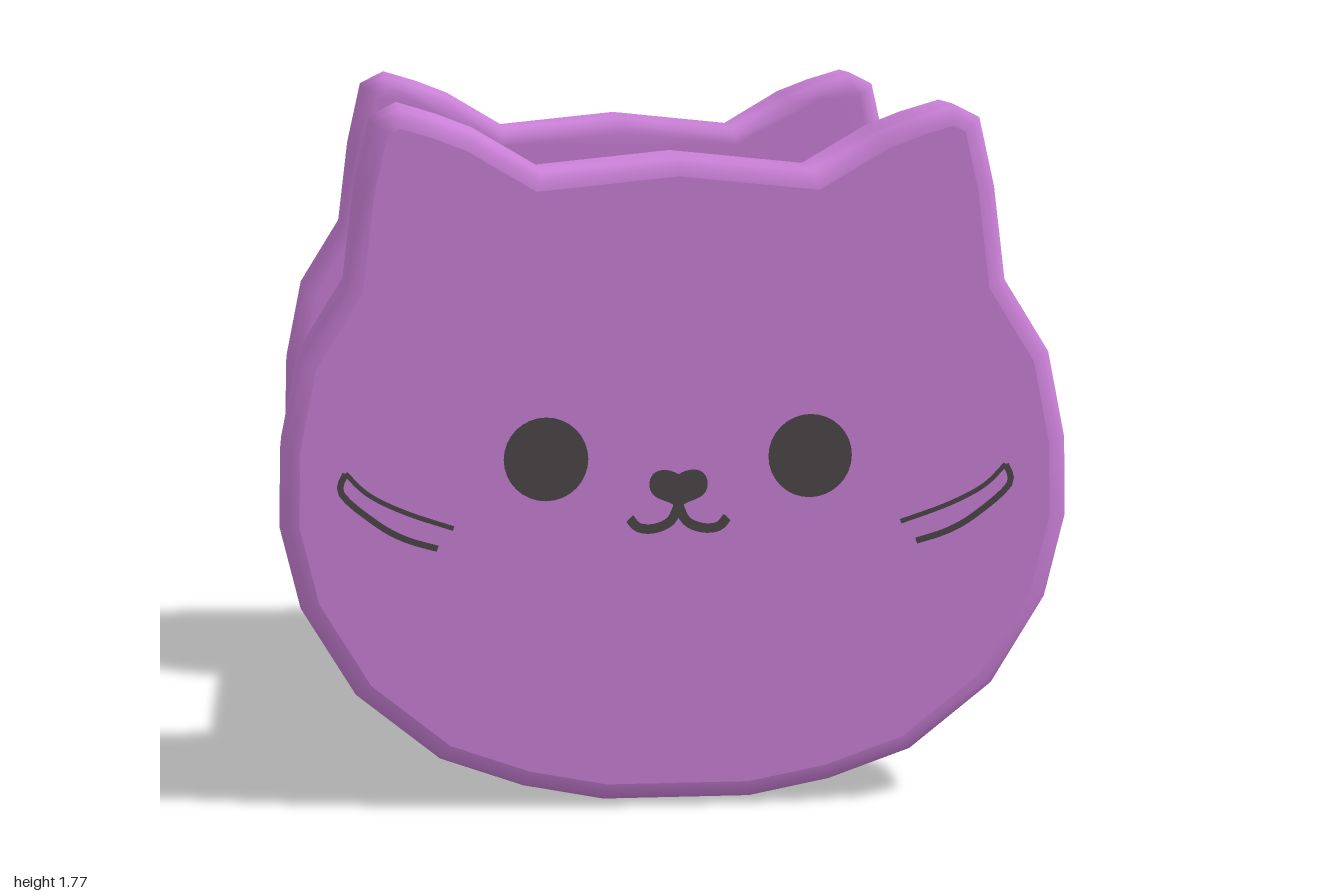
import * as THREE from 'three';
import { mergeVertices, mergeGeometries } from 'three/addons/utils/BufferGeometryUtils.js';

const V2 = (x, y) => new THREE.Vector2(x, y);
const mat = (name, color, side = THREE.FrontSide) => {
  const m = new THREE.MeshStandardMaterial({ color, side });
  m.name = name;
  return m;
};

// Right half of the cat head outline, top centre to bottom
const HALF = [[0.34, 1.61], [0.5, 1.705], [0.59, 1.74], [0.69, 1.77], [0.76, 1.735], [0.8, 1.56],
  [0.83, 1.325], [0.945, 1.14], [0.99, 0.92], [0.995, 0.72], [0.945, 0.51], [0.81, 0.285],
  [0.6, 0.115], [0.39, 0.04], [0.185, 0]];

function headShape() {
  const right = HALF.map(([x, y]) => V2(x, y));
  const left = HALF.map(([x, y]) => V2(-x, y)).reverse();
  return new THREE.Shape([V2(0, 1.645), ...right, ...left]);
}

// Weld a vertex range and give it smooth normals
function smoothRange(geo, start, count) {
  const g = new THREE.BufferGeometry();
  const a = geo.attributes.position.array.slice(start * 3, (start + count) * 3);
  g.setAttribute('position', new THREE.BufferAttribute(a, 3));
  const welded = mergeVertices(g, 1e-4);
  welded.computeVertexNormals();
  return welded.toNonIndexed();
}

// Thick head slab with rounded rim; flat faces keep a crisp edge
function headGeometry(crisp) {
  const geo = new THREE.ExtrudeGeometry(headShape(), {
    depth: 0.185, bevelThickness: 0.05, bevelSize: 0.05, bevelOffset: -0.05, bevelSegments: 3,
  });
  geo.translate(0, 0, -0.0925);
  if (!crisp) return smoothRange(geo, 0, geo.attributes.position.count);
  const [caps, rim] = geo.groups;
  const flat = new THREE.BufferGeometry();
  flat.setAttribute('position', new THREE.BufferAttribute(
    geo.attributes.position.array.slice(caps.start * 3, (caps.start + caps.count) * 3), 3));
  flat.computeVertexNormals();
  return mergeGeometries([flat, smoothRange(geo, rim.start, rim.count)]);
}

// Flat ribbon following a curve in the face plane
function ribbon(points, width) {
  const curve = new THREE.SplineCurve(points.map(([x, y]) => V2(x, y)));
  const a = [], b = [];
  for (let i = 0; i <= 16; i++) {
    const p = curve.getPoint(i / 16), t = curve.getTangent(i / 16);
    const n = V2(-t.y, t.x).multiplyScalar(width / 2);
    a.push(p.clone().add(n));
    b.unshift(p.clone().sub(n));
  }
  return new THREE.ShapeGeometry(new THREE.Shape([...a, ...b]));
}

// Rounded-box cross-section of the ring: radius and axial offset
const pow = (v) => Math.sign(v) * Math.abs(v) ** 0.68;
const section = (t, grow = 0) => [0.605 + (0.135 + grow) * pow(Math.cos(t)), (0.163 + grow) * pow(Math.sin(t))];

// Diagonal stripe wrapped over the ring's outside
function stripeGeometry(angle) {
  const pos = [], idx = [], N = 36;
  for (let i = 0; i <= N; i++) {
    const t = -2.4 + 4.8 * i / N;
    const [r, z] = section(t, 0.004);
    for (const s of [-0.02, 0.02]) {
      const a = angle + 0.15 * t + s;
      pos.push(r * Math.cos(a), r * Math.sin(a), z);
    }
    if (i < N) {
      const k = i * 2;
      idx.push(k, k + 1, k + 2, k + 1, k + 3, k + 2);
    }
  }
  const g = new THREE.BufferGeometry();
  g.setAttribute('position', new THREE.Float32BufferAttribute(pos, 3));
  g.setIndex(idx);
  g.computeVertexNormals();
  return g;
}

export function createModel() {
  const root = new THREE.Group();
  root.name = 'catSpool';
  const purple = mat('purple', 0xca80d7);
  const brown = mat('brown', 0xa07747);
  const dark = mat('charcoal', 0x4c474a, THREE.DoubleSide);
  const stripeMat = mat('stripePurple', 0x7f5c86, THREE.DoubleSide);
  const add = (parent, name, geo, material, x = 0, y = 0, z = 0) => {
    const m = new THREE.Mesh(geo, material);
    m.name = name;
    m.position.set(x, y, z);
    parent.add(m);
    return m;
  };

  // Two cat head ends joined by a round post
  const front = add(root, 'frontHead', headGeometry(true), purple, 0, 0.01, 0.842);
  front.scale.set(0.995, 0.99, 1);
  add(root, 'backHead', headGeometry(false), purple, 0, 0, -0.845);
  add(root, 'post', new THREE.CylinderGeometry(0.495, 0.495, 1.42, 20).rotateX(Math.PI / 2), brown, 0, 0.783, 0);

  // Striped ring around the post
  const ring = new THREE.Group();
  ring.name = 'ring';
  ring.position.set(0, 0.765, -0.518);
  root.add(ring);
  const profile = [];
  for (let i = 0; i <= 36; i++) profile.push(V2(...section(-Math.PI + i * Math.PI / 18)));
  add(ring, 'ringBody', new THREE.LatheGeometry(profile, 48).rotateX(Math.PI / 2), purple);
  for (let i = 0; i < 12; i++) add(ring, 'ringStripe', stripeGeometry(-0.155 + i * Math.PI / 6), stripeMat);

  // Painted face
  const face = new THREE.Group();
  face.name = 'face';
  face.position.z = 0.988;
  root.add(face);
  for (const s of [-1, 1]) {
    const line = (name, pts, w) => add(face, name, ribbon(pts.map(([x, y]) => [x * s, y]), w), dark);
    add(face, 'eye', new THREE.CircleGeometry(0.105, 32), dark, 0.33 * s, 0.89);
    line('mouth', [[0, 0.77], [0.02, 0.73], [0.06, 0.712], [0.1, 0.715], [0.122, 0.738]], 0.024);
    line('upperWhisker', [[0.825, 0.862], [0.77, 0.808], [0.68, 0.762], [0.56, 0.72]], 0.012);
    line('lowerWhisker', [[0.825, 0.862], [0.835, 0.81], [0.75, 0.735], [0.68, 0.695], [0.6, 0.67]], 0.016);
  }
  const nose = new THREE.Shape();
  nose.moveTo(0, 0.848);
  nose.bezierCurveTo(0.035, 0.87, 0.075, 0.86, 0.073, 0.82);
  nose.bezierCurveTo(0.07, 0.785, 0.035, 0.785, 0.014, 0.772);
  nose.lineTo(0.012, 0.745);
  nose.lineTo(-0.012, 0.745);
  nose.lineTo(-0.014, 0.772);
  nose.bezierCurveTo(-0.035, 0.785, -0.07, 0.785, -0.073, 0.82);
  nose.bezierCurveTo(-0.075, 0.86, -0.035, 0.87, 0, 0.848);
  add(face, 'nose', new THREE.ShapeGeometry(nose), dark);
  return root;
}
